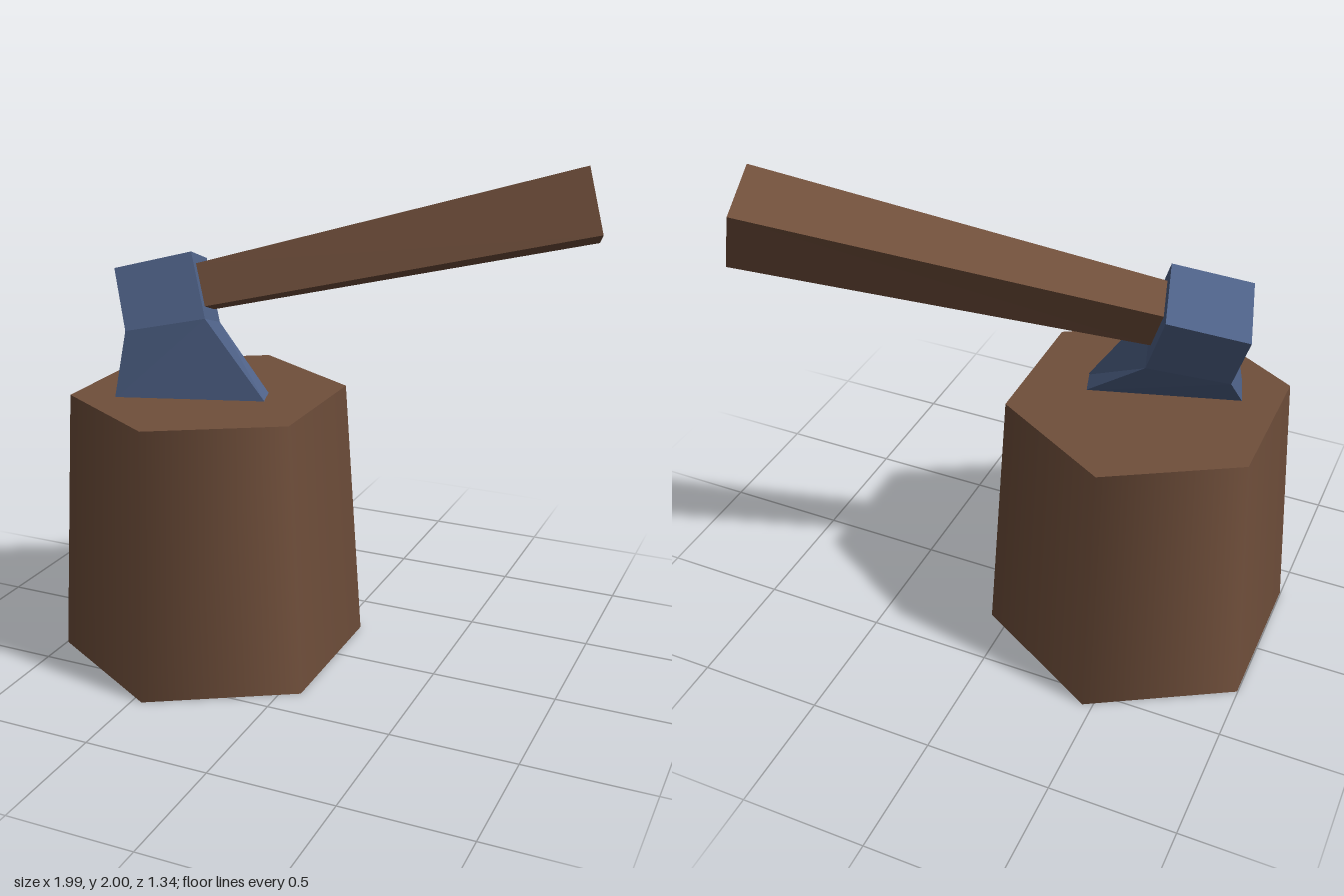
import * as THREE from 'three';

// Faceted solid through four-cornered rings; corners run counter-clockwise seen from the last ring.
function loft(rings) {
  const pos = [];
  const quad = (a, b, c, d) => pos.push(...a, ...b, ...c, ...a, ...c, ...d);
  for (let r = 0; r < rings.length - 1; r++) {
    for (let i = 0; i < 4; i++) {
      const j = (i + 1) % 4;
      quad(rings[r][i], rings[r][j], rings[r + 1][j], rings[r + 1][i]);
    }
  }
  quad(...rings[rings.length - 1]);
  quad(...[...rings[0]].reverse());
  const geo = new THREE.BufferGeometry();
  geo.setAttribute('position', new THREE.Float32BufferAttribute(pos, 3));
  geo.computeVertexNormals();
  return geo;
}

export function createModel() {
  const group = new THREE.Group();
  const wood = new THREE.MeshStandardMaterial({ color: 0x704f3b, side: THREE.DoubleSide });
  wood.name = 'brown wood';
  const steel = new THREE.MeshStandardMaterial({ color: 0x4e6187 });
  steel.name = 'blue steel';

  const add = (name, geo, mat, parent = group) => {
    const mesh = new THREE.Mesh(geo, mat);
    mesh.name = name;
    parent.add(mesh);
    return mesh;
  };

  // Chopping block: smooth six-sided bark, open underneath, with a flat top
  const height = 1.088;
  const block = new THREE.Group();
  block.name = 'choppingBlock';
  block.position.set(-0.46, 0, 0.048);
  group.add(block);
  add('bark', new THREE.CylinderGeometry(0.55, 0.62, height, 6, 1, true).translate(0, height / 2, 0), wood, block);
  add('blockTop', new THREE.CircleGeometry(0.55, 6, Math.PI / 6).rotateX(-Math.PI / 2).translate(0, height, 0), wood, block);

  // Axe head: flared wedge below a slanted block
  add('axeHead', loft([
    [[-0.76, 1.08, 0.277], [-0.19, 1.08, 0.09], [-0.22, 1.08, -0.013], [-0.795, 1.08, 0.16]],
    [[-0.715, 1.355, 0.25], [-0.42, 1.41, 0.145], [-0.495, 1.325, -0.12], [-0.79, 1.27, -0.015]],
    [[-0.79, 1.585, 0.188], [-0.505, 1.655, 0.085], [-0.58, 1.57, -0.18], [-0.865, 1.5, -0.077]],
  ]), steel);

  // Handle: square bar widening away from the head
  add('handle', loft([
    [[-0.51, 1.6, 0.052], [-0.46, 1.441, 0.091], [-0.502, 1.389, -0.063], [-0.555, 1.548, -0.103]],
    [[0.91, 2.0, -0.43], [0.99, 1.755, -0.37], [0.925, 1.675, -0.61], [0.845, 1.92, -0.67]],
  ]), wood);

  return group;
}
